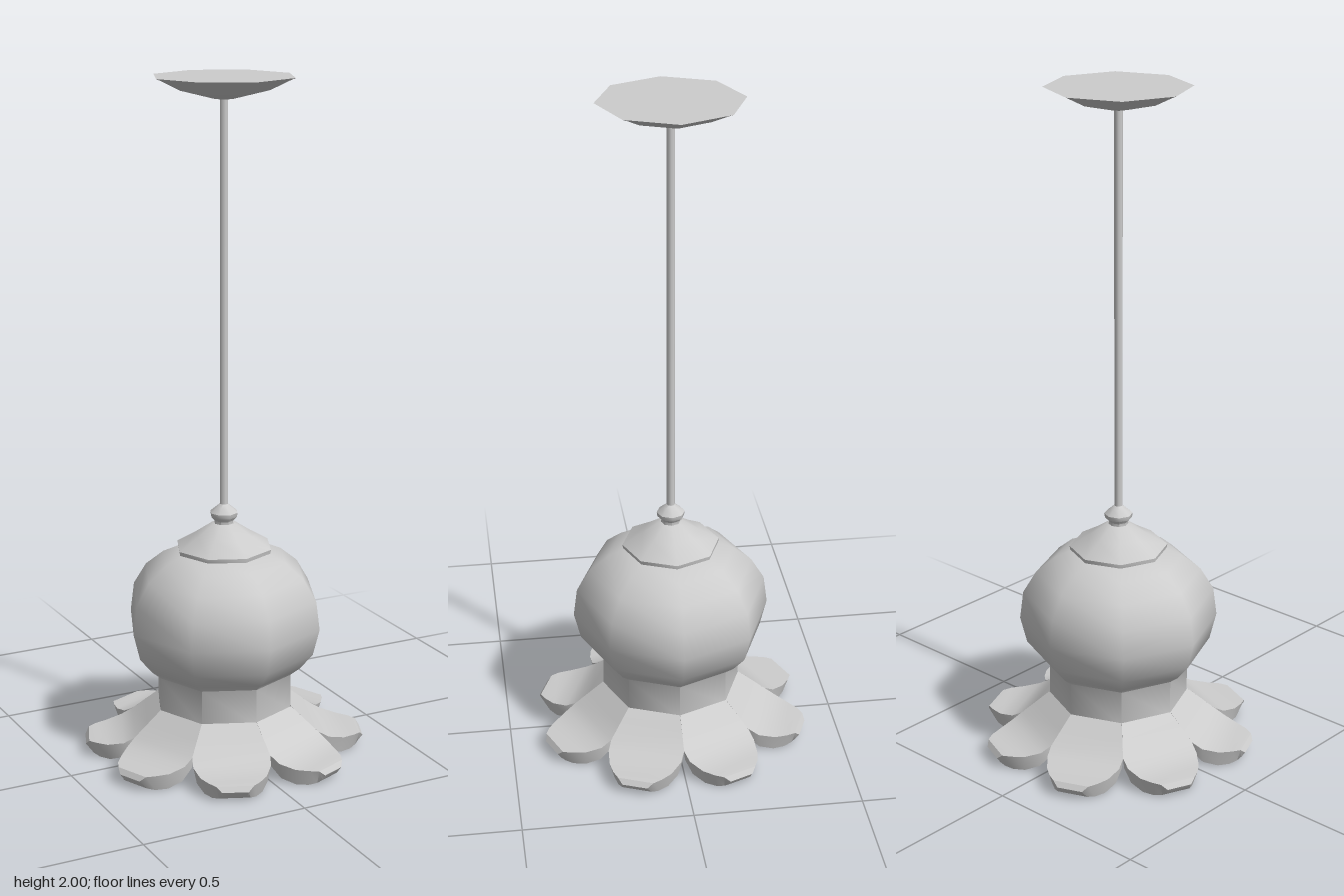
import * as THREE from 'three';
import { toCreasedNormals } from 'three/addons/utils/BufferGeometryUtils.js';

const SIDES = 8;
const CREASE = 0.87; // keeps the octagon smooth, the rims sharp

// Octagonal turned part from [radius, y] points, bottom to top
function turned(name, profile, material) {
  const points = profile.map(([r, y]) => new THREE.Vector2(r, y));
  const mesh = new THREE.Mesh(toCreasedNormals(new THREE.LatheGeometry(points, SIDES), CREASE), material);
  mesh.name = name;
  return mesh;
}

// One petal pointing along +z: four-cornered cross-sections from neck to tip.
// Each row: top reach, half width, y; bottom reach, half width, y
function petalGeometry() {
  const rows = [
    [0.194, 0.080, 0.150, 0.190, 0.079, 0.135],
    [0.232, 0.096, 0.116, 0.232, 0.095, 0.085],
    [0.272, 0.113, 0.080, 0.270, 0.108, 0.045],
    [0.305, 0.112, 0.062, 0.305, 0.102, 0.014],
    [0.352, 0.095, 0.051, 0.345, 0.083, 0.000],
    [0.386, 0.074, 0.050, 0.375, 0.062, 0.000],
    [0.406, 0.054, 0.048, 0.393, 0.045, 0.006],
    [0.416, 0.038, 0.033, 0.403, 0.034, 0.014],
  ];
  const positions = [];
  const index = [];
  rows.forEach(([tz, tw, ty, bz, bw, by], i) => {
    positions.push(-tw, ty, tz, tw, ty, tz, bw, by, bz, -bw, by, bz);
    if (i === 0) return;
    for (let k = 0; k < 4; k++) {
      const a = (i - 1) * 4 + k, b = (i - 1) * 4 + (k + 1) % 4;
      index.push(a, a + 4, b, b, a + 4, b + 4);
    }
  });
  // Tip face
  const t = (rows.length - 1) * 4;
  index.push(t, t + 2, t + 1, t, t + 3, t + 2);
  const geometry = new THREE.BufferGeometry();
  geometry.setAttribute('position', new THREE.Float32BufferAttribute(positions, 3));
  geometry.setIndex(index);
  return toCreasedNormals(geometry, 0.7);
}

export function createModel() {
  const grey = new THREE.MeshStandardMaterial({ color: 0xcccccc });
  grey.name = 'light grey';
  const lamp = new THREE.Group();
  lamp.name = 'pendantLamp';

  // Ceiling plate, rod and knob
  lamp.add(turned('ceilingPlate', [
    [0, 1.937], [0.03, 1.938], [0.135, 1.965], [0.19, 1.992], [0.208, 2], [0, 2],
  ], grey));
  const rod = new THREE.Mesh(new THREE.CylinderGeometry(0.012, 0.012, 1.2, SIDES), grey);
  rod.name = 'rod';
  rod.position.y = 1.345;
  lamp.add(rod);
  lamp.add(turned('knob', [
    [0.03, 0.695], [0.028, 0.71], [0.04, 0.722], [0.042, 0.735], [0.022, 0.752], [0.012, 0.76],
  ], grey));

  // Cap over the shade
  lamp.add(turned('cap', [
    [0, 0.62], [0.143, 0.62], [0.145, 0.632], [0.085, 0.668], [0.035, 0.702], [0, 0.702],
  ], grey));

  // Round shade with its neck, closed underneath
  lamp.add(turned('shade', [
    [0, 0.14], [0.208, 0.14], [0.208, 0.25], [0.235, 0.272], [0.275, 0.32], [0.295, 0.40],
    [0.284, 0.485], [0.245, 0.55], [0.19, 0.595], [0.13, 0.623], [0, 0.625],
  ], grey));

  // Ring of petals, one on each side of the neck
  const petals = new THREE.Group();
  petals.name = 'petals';
  const geometry = petalGeometry();
  for (let i = 0; i < SIDES; i++) {
    const petal = new THREE.Mesh(geometry, grey);
    petal.name = 'petal';
    petal.rotation.y = (i + 0.5) * Math.PI * 2 / SIDES;
    petals.add(petal);
  }
  lamp.add(petals);
  return lamp;
}
